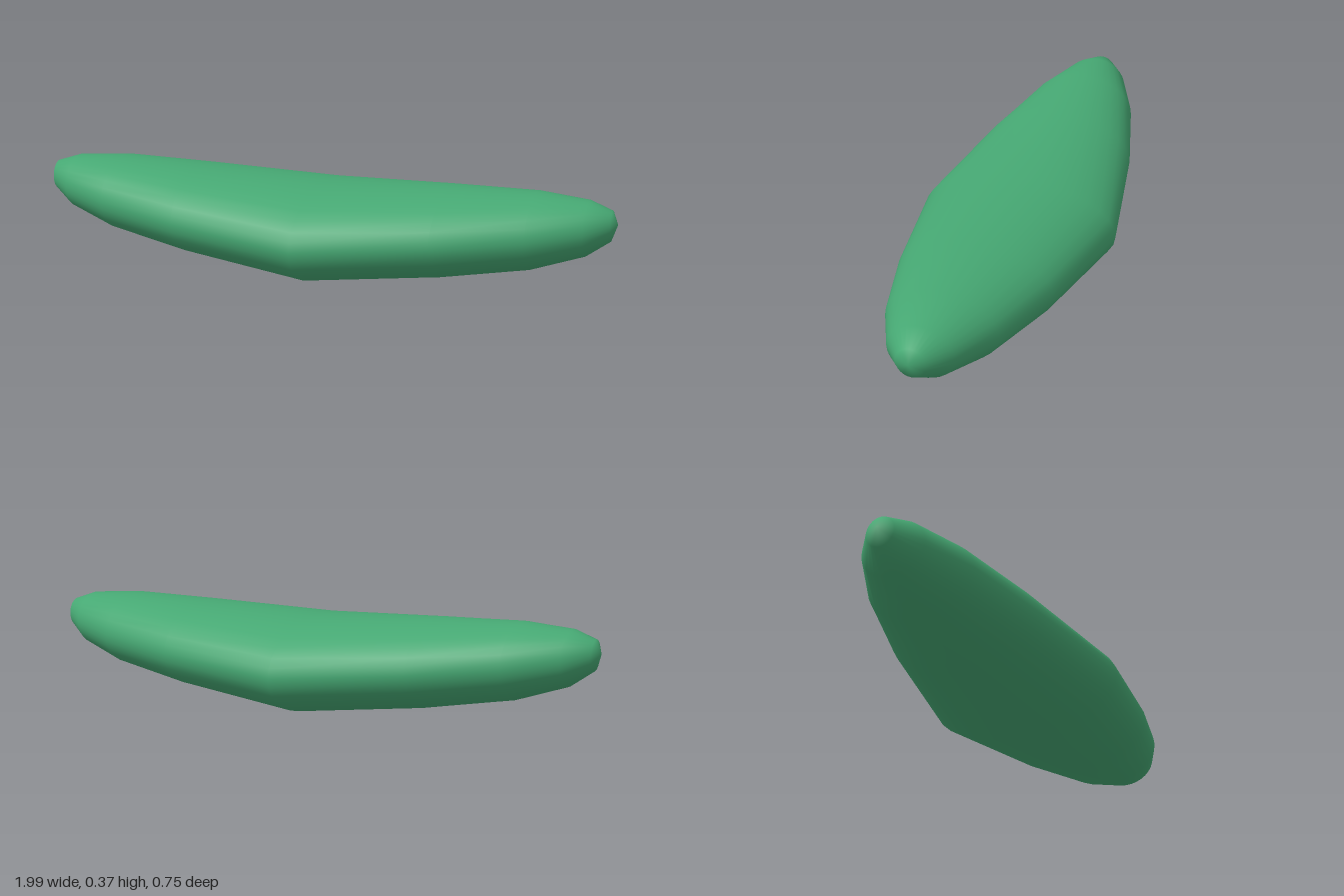
import * as THREE from 'three';
import { mergeVertices } from 'three/addons/utils/BufferGeometryUtils.js';

// Half of the leaf: [distance along axis, half width, half height, lift of centre]
const HALF = [
  [0, 0.348, 0.168, 0],
  [0.455, 0.27, 0.15, 0.034],
  [0.755, 0.19, 0.129, 0.064],
  [0.93, 0.112, 0.094, 0.087],
  [1.01, 0.05, 0.052, 0.102],
  [1.03, 0, 0, 0.108],
];
const SIDES = 32;
const YAW = -0.252; // turns the long axis towards +z at the +x end
const TILT = 0.01; // the -x end sits slightly higher

function leafGeometry() {
  // Mirror the half profile into one list of stations, end to end
  const stations = [
    ...HALF.slice(1).reverse().map(([s, w, h, c]) => [-s, w, h, c]),
    ...HALF,
  ];
  const positions = [];
  const index = [];
  stations.forEach(([s, w, h, lift], i) => {
    const y = 0.168 + lift - TILT * s;
    for (let j = 0; j < SIDES; j++) {
      const a = (j / SIDES) * Math.PI * 2;
      positions.push(s, y + h * Math.sin(a), -w * Math.cos(a));
      if (i === stations.length - 1) continue;
      const k = (j + 1) % SIDES;
      const p = i * SIDES, q = p + SIDES;
      // Skip the collapsed triangles at the two tips
      if (i > 0) index.push(p + j, p + k, q + j);
      if (i < stations.length - 2) index.push(p + k, q + k, q + j);
    }
  });
  let geometry = new THREE.BufferGeometry();
  geometry.setAttribute('position', new THREE.Float32BufferAttribute(positions, 3));
  geometry.setIndex(index);
  geometry = mergeVertices(geometry, 1e-5);
  geometry.rotateY(YAW);
  geometry.computeVertexNormals();
  return geometry;
}

export function createModel() {
  const group = new THREE.Group();
  group.name = 'leaf';
  const blade = new THREE.Mesh(
    leafGeometry(),
    new THREE.MeshStandardMaterial({ color: 0x46a873 })
  );
  blade.name = 'leafBlade';
  group.add(blade);
  return group;
}
